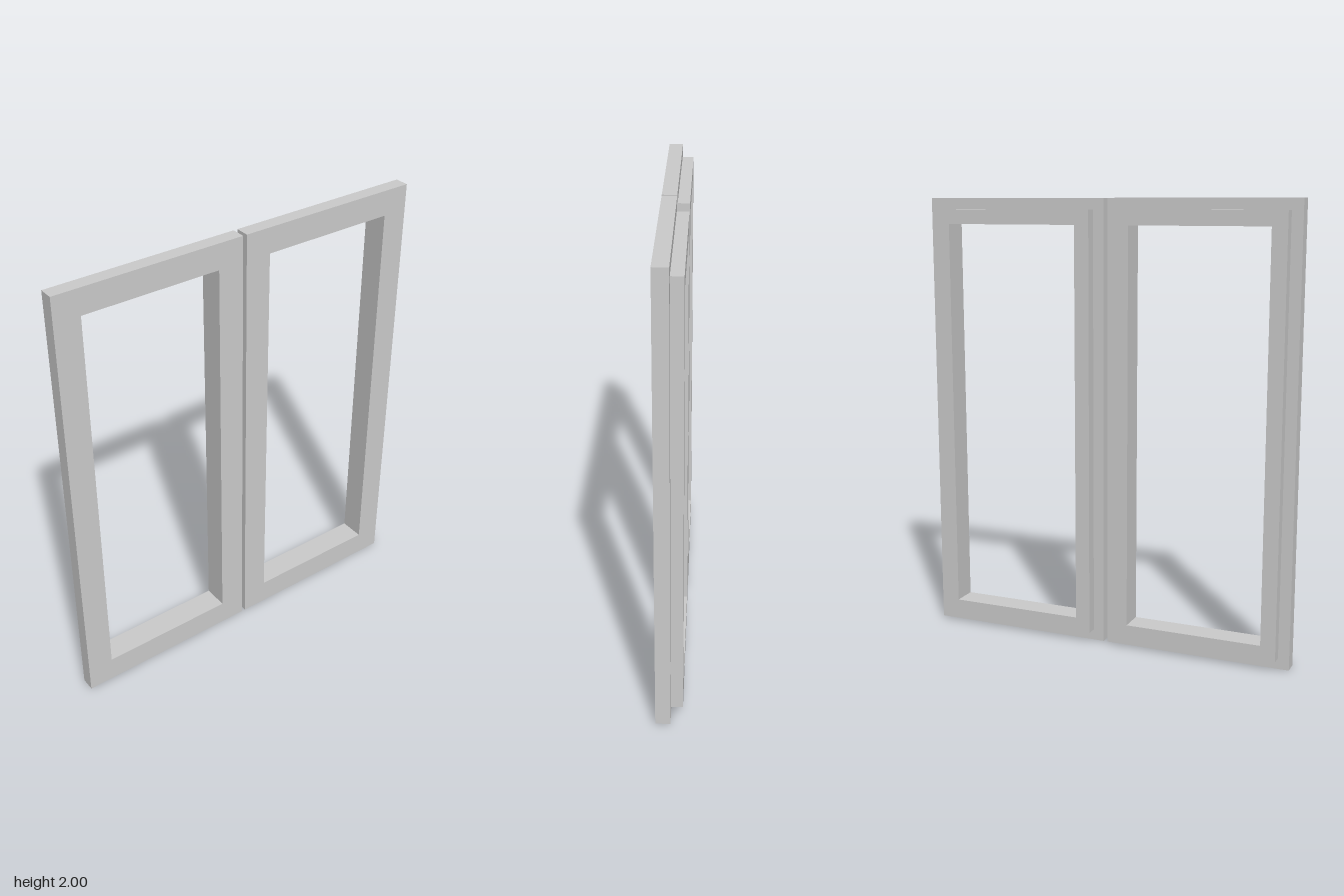
import * as THREE from 'three';

const material = new THREE.MeshStandardMaterial({ color: 0xcccccc });

// Counter-clockwise rectangle corners
const rectangle = (w, h) => [[-w, -h], [w, -h], [w, h], [-w, h]]
  .map(([x, y]) => new THREE.Vector2(x / 2, y / 2));

// Rectangular ring extruded from zBack to zFront
function frame(name, width, height, openWidth, openHeight, zBack, zFront) {
  const shape = new THREE.Shape(rectangle(width, height));
  shape.holes.push(new THREE.Path(rectangle(openWidth, openHeight).reverse()));
  const geometry = new THREE.ExtrudeGeometry(shape, { depth: zFront - zBack, bevelEnabled: false });
  geometry.translate(0, 0, zBack);
  const mesh = new THREE.Mesh(geometry, material);
  mesh.name = name;
  return mesh;
}

export function createModel() {
  const model = new THREE.Group();
  model.name = 'doubleWindow';
  const openWidth = 0.618, openHeight = 1.772;
  const seam = -0.006;

  for (const side of [-1, 1]) {
    const sash = new THREE.Group();
    sash.name = side < 0 ? 'rightSash' : 'leftSash';
    // Wide front frame with a smaller rebate frame behind it
    sash.add(
      frame('frontFrame', 0.85, 2, openWidth, openHeight, seam, 0.057),
      frame('rebateFrame', 0.752, 1.902, openWidth, openHeight, -0.057, seam),
    );
    sash.position.set(side * 0.434, 1, 0);
    model.add(sash);
  }
  return model;
}
